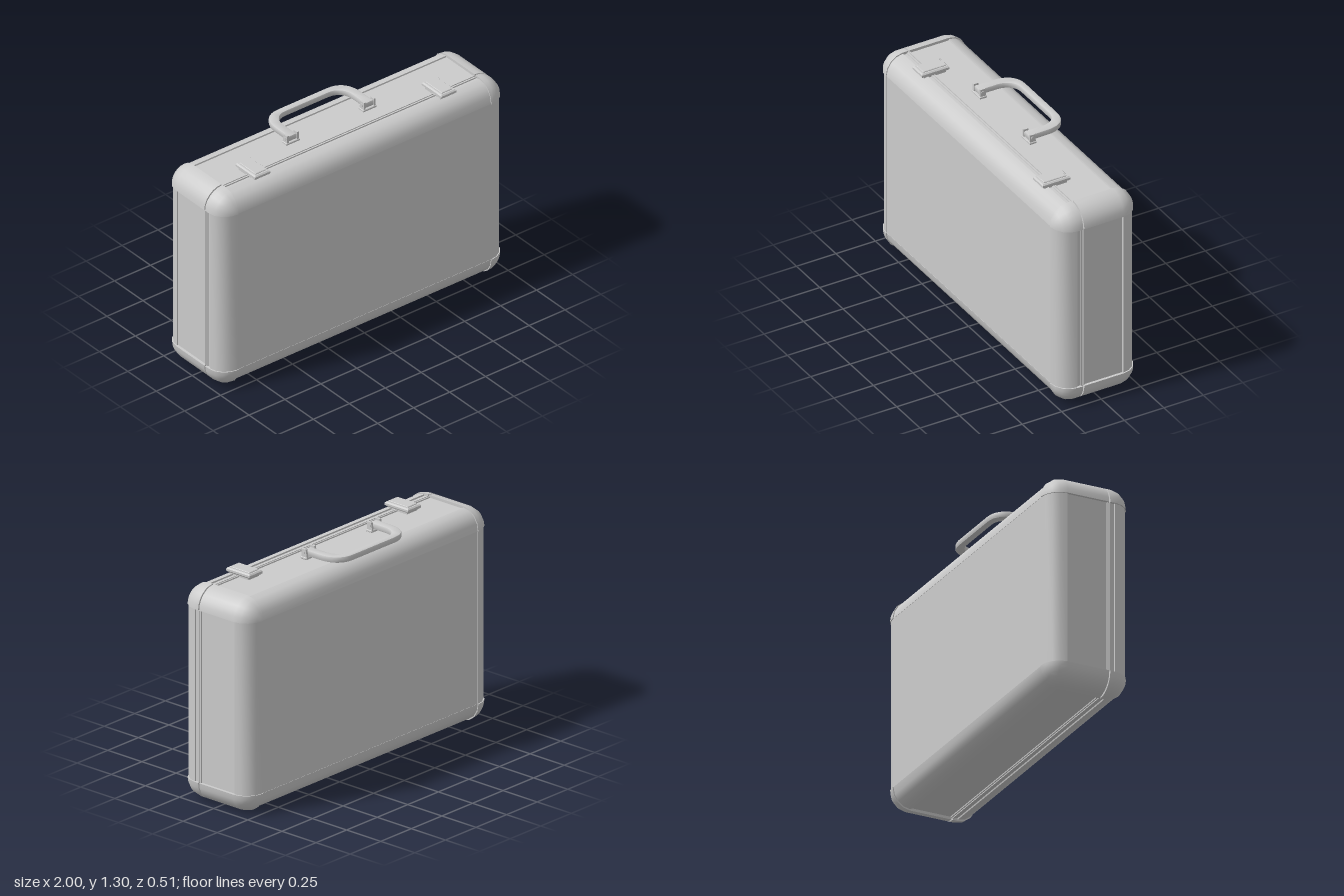
import * as THREE from 'three';
import { mergeGeometries, toCreasedNormals } from 'three/addons/utils/BufferGeometryUtils.js';

const material = new THREE.MeshStandardMaterial({ color: 0xcccccc, side: THREE.DoubleSide });

// Corner axes of the case, seen from the front
const AX = 0.88, Y0 = 0.12, Y1 = 1.135, MID = (Y0 + Y1) / 2;
const CREASE = 0.6;

function add(parent, name, geometry, x = 0, y = 0, z = 0) {
  const mesh = new THREE.Mesh(geometry, material);
  mesh.name = name;
  mesh.position.set(x, y, z);
  parent.add(mesh);
  return mesh;
}

// Edge cross-section from back to front: (distance from corner axis, z)
function edgeProfile(r, depth, steps) {
  const flat = 0.145, n = 4, pts = [];
  for (let i = 0; i <= n; i++) {
    const a = (i / n) * Math.PI / 2;
    pts.push(new THREE.Vector2(r * Math.sin(a), -flat - (depth - flat) * Math.cos(a)));
  }
  for (const [sr, sz] of steps) pts.push(new THREE.Vector2(sr, sz));
  for (let i = n; i >= 0; i--) {
    const a = (i / n) * Math.PI / 2;
    pts.push(new THREE.Vector2(r * Math.sin(a), flat + (depth - flat) * Math.cos(a)));
  }
  pts[0].x = pts[pts.length - 1].x = 0;
  return pts;
}

// Straight edge with recessed panels and the lid seam
const railProfile = edgeProfile(0.112, 0.25, [
  [0.104, -0.143], [0.104, 0.099], [0.111, 0.1], [0.111, 0.107],
  [0.098, 0.107], [0.098, 0.113], [0.111, 0.113], [0.111, 0.122],
  [0.104, 0.123], [0.104, 0.143],
]);
const capProfile = edgeProfile(0.12, 0.255, [
  [0.12, 0.106], [0.106, 0.106], [0.106, 0.114], [0.12, 0.114],
]);

// Side wall extruded between two corners, facing "out"
function wallGeometry(out, length, centre) {
  const geo = new THREE.ExtrudeGeometry(new THREE.Shape(railProfile), { depth: length, bevelEnabled: false });
  geo.translate(0, 0, -length / 2);
  const z = new THREE.Vector3(0, 0, 1);
  const m = new THREE.Matrix4().makeBasis(out, z, out.clone().cross(z)).setPosition(centre);
  return toCreasedNormals(geo.applyMatrix4(m), CREASE);
}

// Quarter-turn corner cover with closed ends
function capGeometry(start) {
  const end = start + Math.PI / 2;
  const parts = [toCreasedNormals(new THREE.LatheGeometry(capProfile, 6, start, Math.PI / 2), CREASE)];
  for (const phi of [start, end]) {
    parts.push(new THREE.ShapeGeometry(new THREE.Shape(capProfile)).rotateY(phi - Math.PI / 2).toNonIndexed());
  }
  return mergeGeometries(parts).rotateX(Math.PI / 2);
}

// Flat bevelled rectangle lying on the case, bottom at y = 0
function plate(w, d, h, bevel) {
  const x = w / 2 - bevel, y = d / 2 - bevel;
  const shape = new THREE.Shape([[-x, -y], [x, -y], [x, y], [-x, y]].map((p) => new THREE.Vector2(...p)));
  return new THREE.ExtrudeGeometry(shape, {
    depth: h - 2 * bevel, bevelThickness: bevel, bevelSize: bevel, bevelSegments: 1,
  }).translate(0, 0, bevel).rotateX(-Math.PI / 2);
}

function makeCase(group) {
  const shell = new THREE.Group();
  shell.name = 'caseShell';
  group.add(shell);
  add(shell, 'frontAndBackPanels', new THREE.BoxGeometry(2 * AX, Y1 - Y0, 0.497), 0, MID, 0);
  const walls = [
    ['leftWall', 1, 0, Y1 - Y0, AX, MID], ['rightWall', -1, 0, Y1 - Y0, -AX, MID],
    ['topWall', 0, 1, 2 * AX, 0, Y1], ['bottomWall', 0, -1, 2 * AX, 0, Y0],
  ];
  for (const [name, ox, oy, length, x, y] of walls) {
    add(shell, name, wallGeometry(new THREE.Vector3(ox, oy, 0), length, new THREE.Vector3(x, y, 0)));
  }
  const corners = [
    ['bottomLeftCorner', AX, Y0], ['topLeftCorner', AX, Y1],
    ['topRightCorner', -AX, Y1], ['bottomRightCorner', -AX, Y0],
  ];
  corners.forEach(([name, x, y], i) => add(shell, name, capGeometry(i * Math.PI / 2), x, y, 0));
}

function makeHandle(group) {
  const handle = new THREE.Group();
  handle.name = 'handle';
  handle.position.set(-0.045, 0, 0);
  group.add(handle);

  // Arched grip folded back on the top wall
  const b = 0.008, o = 0.295 - b, i = 0.24 + b, back = 0.24 - b, inner = 0.198 + b;
  const s = new THREE.Shape();
  s.moveTo(-o, -0.005);
  s.lineTo(-o, 0.1);
  s.bezierCurveTo(-o, 0.18, -0.25, back, -0.17, back);
  s.lineTo(0.17, back);
  s.bezierCurveTo(0.25, back, o, 0.18, o, 0.1);
  s.lineTo(o, -0.005);
  s.lineTo(i, -0.005);
  s.lineTo(i, 0.1);
  s.bezierCurveTo(i, 0.16, 0.21, inner, 0.15, inner);
  s.lineTo(-0.15, inner);
  s.bezierCurveTo(-0.21, inner, -i, 0.16, -i, 0.1);
  s.lineTo(-i, -0.005);
  s.closePath();
  const grip = new THREE.ExtrudeGeometry(s, {
    depth: 0.02, bevelThickness: b, bevelSize: b, bevelSegments: 2, curveSegments: 8,
  }).rotateX(-Math.PI / 2);
  add(handle, 'grip', toCreasedNormals(grip, CREASE), 0, 1.27, 0);

  // Brackets: base plate, two tapered ears and a pivot pin
  const earShape = new THREE.Shape([[-0.016, 0], [0.024, 0], [0.014, 0.055], [-0.016, 0.055]]
    .map((p) => new THREE.Vector2(...p)));
  for (const [side, dir] of [['left', 1], ['right', -1]]) {
    const bracket = new THREE.Group();
    bracket.name = side + 'HandleBracket';
    bracket.position.set(dir * 0.267, 1.25, 0);
    handle.add(bracket);
    add(bracket, 'bracketBase', plate(0.092, 0.042, 0.014, 0.003), 0, -0.004, -0.002);
    for (const e of [-1, 1]) {
      const ear = new THREE.ExtrudeGeometry(earShape, { depth: 0.013, bevelEnabled: false })
        .translate(0, 0, -0.0065).rotateY(Math.PI / 2);
      add(bracket, 'bracketEar', ear, e * 0.035, 0, 0);
    }
    const pin = new THREE.CylinderGeometry(0.01, 0.01, 0.09, 10).rotateZ(Math.PI / 2);
    add(bracket, 'pivotPin', toCreasedNormals(pin, 0.8), 0, 0.034, 0);
  }
}

function makeLatch(group, name, x) {
  const latch = new THREE.Group();
  latch.name = name;
  latch.position.set(x, 0, 0.1);
  group.add(latch);
  add(latch, 'latchBase', plate(0.088, 0.14, 0.035, 0.003), 0, 1.235, 0);
  add(latch, 'latchCover', plate(0.105, 0.174, 0.026, 0.007), 0, 1.25, 0);
  add(latch, 'latchRaisedTop', plate(0.076, 0.142, 0.01, 0.003), 0, 1.272, 0);
}

export function createModel() {
  const group = new THREE.Group();
  group.name = 'briefcase';
  makeCase(group);
  makeHandle(group);
  makeLatch(group, 'leftLatch', 0.638);
  makeLatch(group, 'rightLatch', -0.657);
  return group;
}
